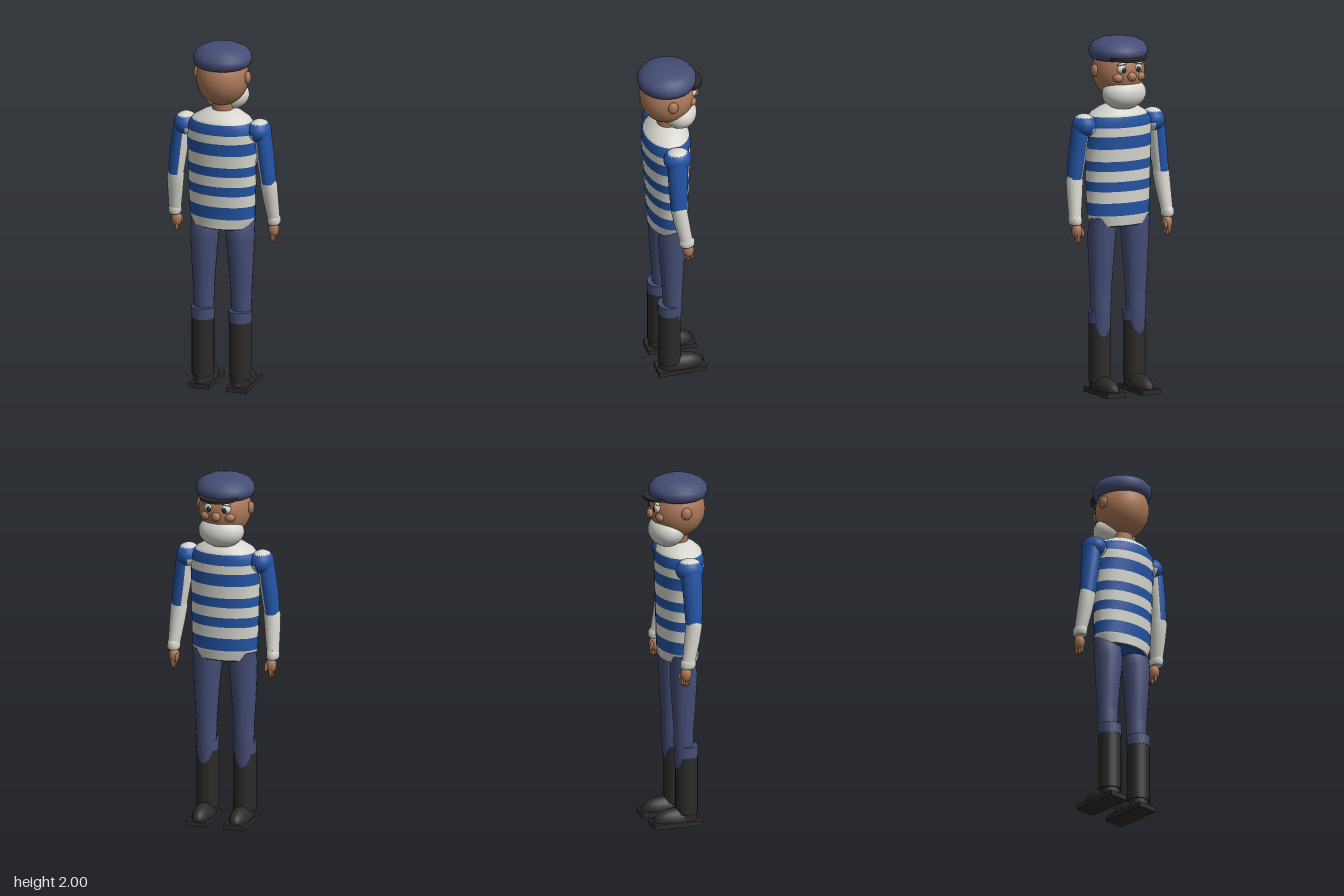
import * as THREE from 'three';

const mat = (name, color) => new THREE.MeshStandardMaterial({ name, color });

export function createModel() {
  const group = new THREE.Group();
  const navy = mat('navy cloth', 0x454d75);
  const blue = mat('blue stripe', 0x2353a3);
  const white = mat('off white', 0xd6d6ce);
  const skin = mat('skin', 0xaa7757);
  const black = mat('black leather', 0x2b2b2b);

  const add = (name, geo, material, x = 0, y = 0, z = 0) => {
    const m = new THREE.Mesh(geo, material);
    m.name = name;
    m.position.set(x, y, z);
    group.add(m);
    return m;
  };
  const ball = (name, material, x, y, z, rx, ry = rx, rz = rx, seg = 20) =>
    add(name, new THREE.SphereGeometry(1, seg, Math.ceil(seg * 0.7)).scale(rx, ry, rz), material, x, y, z);

  // Closed tube through elliptical rings [x, y, z, rx, rz], listed bottom to top
  function loft(rings, seg = 18) {
    const lo = rings[0], hi = rings[rings.length - 1];
    const all = [[lo[0], lo[1], lo[2], 0, 0], lo, ...rings, hi, [hi[0], hi[1], hi[2], 0, 0]];
    const pos = [], idx = [];
    all.forEach(([x, y, z, rx, rz], i) => {
      for (let j = 0; j < seg; j++) {
        const a = (j / seg) * Math.PI * 2;
        pos.push(x + rx * Math.cos(a), y, z + rz * Math.sin(a));
        if (i < all.length - 1) {
          const p = i * seg + j, n = i * seg + ((j + 1) % seg);
          idx.push(p, p + seg, n, n, p + seg, n + seg);
        }
      }
    });
    const g = new THREE.BufferGeometry();
    g.setAttribute('position', new THREE.Float32BufferAttribute(pos, 3));
    g.setIndex(idx);
    g.computeVertexNormals();
    return g;
  }

  // Sort faces into two material groups by a rule on the face centre
  function twoTone(g, rule) {
    const p = g.attributes.position, src = g.index.array, sets = [[], []];
    for (let i = 0; i < src.length; i += 3) {
      const c = new THREE.Vector3();
      for (let k = 0; k < 3; k++) c.add(new THREE.Vector3().fromBufferAttribute(p, src[i + k]));
      sets[rule(c.divideScalar(3)) ? 1 : 0].push(src[i], src[i + 1], src[i + 2]);
    }
    g.setIndex([...sets[0], ...sets[1]]);
    g.addGroup(0, sets[0].length, 0);
    g.addGroup(sets[0].length, sets[1].length, 1);
    return g;
  }

  // Striped jersey, cut from one body profile: [y, z, rx, rz]
  const body = [
    [0.95, 0.018, 0.165, 0.105], [1.0, 0.015, 0.188, 0.11], [1.2, 0.018, 0.195, 0.118],
    [1.48, 0.022, 0.2, 0.132], [1.54, 0.022, 0.198, 0.132], [1.58, 0.02, 0.16, 0.12],
    [1.61, 0.015, 0.11, 0.09], [1.625, 0.012, 0.07, 0.065],
  ];
  const bodyAt = (y) => {
    let i = 0;
    while (i < body.length - 2 && body[i + 1][0] < y) i++;
    const t = (y - body[i][0]) / (body[i + 1][0] - body[i][0]);
    const [, z, rx, rz] = body[i].map((v, k) => v + (body[i + 1][k] - v) * t);
    return [0, y, z, rx, rz];
  };
  const cuts = [0.95, 1.008, 1.08, 1.145, 1.2, 1.26, 1.315, 1.385, 1.455, 1.505, 1.565, 1.625];
  for (let i = 0; i < cuts.length - 1; i++) {
    const inner = body.map((b) => b[0]).filter((y) => y > cuts[i] + 0.002 && y < cuts[i + 1] - 0.002);
    const rings = [cuts[i], ...inner, cuts[i + 1]].map(bodyAt);
    add(i % 2 ? 'jerseyBlueStripe' : 'jerseyWhiteStripe', loft(rings, 24), i % 2 ? blue : white);
  }
  add('jerseyUnderside', loft([[0, 0.944, 0.018, 0.15, 0.095], [0, 0.952, 0.018, 0.155, 0.1]]), blue);

  // Head, facing -z
  add('neck', new THREE.CylinderGeometry(0.06, 0.06, 0.12, 16), skin, 0, 1.65, 0.012);
  ball('head', skin, 0, 1.81, 0.015, 0.146, 0.16, 0.154, 28);
  ball('beard', white, 0, 1.692, -0.05, 0.13, 0.092, 0.1, 28);
  ball('nose', skin, 0, 1.797, -0.143, 0.026, 0.026, 0.022);
  for (const s of [-1, 1]) {
    ball('ear', skin, s * 0.148, 1.82, 0.02, 0.02, 0.036, 0.031, 8);
    ball('cheek', skin, s * 0.068, 1.79, -0.108, 0.032, 0.026, 0.026);
    ball('eye', white, s * 0.048, 1.838, -0.115, 0.03, 0.026, 0.023);
    ball('pupil', black, s * 0.046, 1.836, -0.131, 0.015, 0.017, 0.011, 12);
    const brow = ball('eyebrow', white, s * 0.05, 1.868, -0.121, 0.033, 0.007, 0.012, 12);
    brow.rotation.z = -s * 0.15;
  }

  // Cap with brim
  const capProfile = [[0, 1.872], [0.125, 1.874], [0.153, 1.886], [0.165, 1.915], [0.162, 1.942],
    [0.14, 1.97], [0.1, 1.989], [0.05, 1.998], [0, 2]].map(([x, y]) => new THREE.Vector2(x, y));
  add('cap', new THREE.LatheGeometry(capProfile, 32), navy, 0, 0, 0.017);
  const brim = add('capBrim', new THREE.CylinderGeometry(1, 1, 0.014, 18).scale(0.112, 1, 0.092), black, 0, 1.898, -0.09);
  brim.rotation.x = -0.1;

  for (const s of [-1, 1]) {
    // Shoulder and upper arm, white on top and inside
    const shoulder = new THREE.SphereGeometry(1, 24, 18);
    add('shoulder', twoTone(shoulder, (c) => c.y > 0.72 || (s * c.x < -0.2 && c.y < -0.15))
      .scale(0.066, 0.066, 0.079), [blue, white], s * 0.216, 1.517, 0.015);
    const upperArm = loft([
      [s * 0.272, 1.22, 0.022, 0.043, 0.046], [s * 0.258, 1.34, 0.023, 0.049, 0.053],
      [s * 0.243, 1.46, 0.02, 0.048, 0.058], [s * 0.237, 1.52, 0.018, 0.043, 0.055],
    ], 24);
    const armMid = (y) => 0.272 - (y - 1.22) * 0.117;
    add('upperArm', twoTone(upperArm, (c) => s * c.x < armMid(c.y) - 0.022), [blue, white]);
    // Forearm, cuff and hand
    add('forearm', loft([
      [s * 0.29, 1.0, -0.015, 0.034, 0.037], [s * 0.28, 1.12, 0.008, 0.043, 0.044],
      [s * 0.273, 1.21, 0.022, 0.048, 0.046], [s * 0.271, 1.24, 0.022, 0.042, 0.042],
    ]), white);
    add('sleeveCuff', loft([
      [s * 0.29, 0.97, -0.018, 0.029, 0.036], [s * 0.291, 0.982, -0.018, 0.036, 0.044],
      [s * 0.291, 1.008, -0.016, 0.036, 0.044], [s * 0.29, 1.022, -0.014, 0.029, 0.036],
    ]), white);
    ball('hand', skin, s * 0.285, 0.935, -0.028, 0.03, 0.044, 0.032, 14);
    for (let f = 0; f < 4; f++)
      ball('finger', skin, s * (0.287 - (f % 2) * 0.006), 0.892 + Math.abs(f - 1.5) * 0.006, -0.05 + f * 0.013, 0.009, 0.035, 0.008, 8);
    const thumb = ball('thumb', skin, s * 0.262, 0.928, -0.052, 0.009, 0.03, 0.01, 8);
    thumb.rotation.x = 0.3;

    // Trouser leg
    add('thigh', loft([
      [s * 0.11, 0.54, 0.015, 0.058, 0.055], [s * 0.109, 0.7, 0.016, 0.068, 0.067],
      [s * 0.105, 0.88, 0.017, 0.08, 0.077], [s * 0.104, 0.95, 0.01, 0.081, 0.07],
      [s * 0.106, 0.995, -0.005, 0.078, 0.056],
    ]), navy);
    add('shin', loft([
      [s * 0.11, 0.27, 0.01, 0.042, 0.036], [s * 0.11, 0.42, 0.014, 0.055, 0.053],
      [s * 0.11, 0.55, 0.015, 0.06, 0.057], [s * 0.11, 0.565, 0.015, 0.052, 0.05],
    ]), navy);
    // Boot shaft, rolled trouser hem, shoe and sole
    add('bootShaft', new THREE.CylinderGeometry(0.063, 0.063, 0.335, 20), black, s * 0.109, 0.235, 0.032);
    add('trouserHem', new THREE.CylinderGeometry(0.0645, 0.0645, 0.062, 20), navy, s * 0.109, 0.43, 0.032);
    const shoe = new THREE.SphereGeometry(1, 20, 8, 0, Math.PI * 2, 0, Math.PI / 2).scale(0.056, 0.072, 0.128);
    add('shoe', shoe, black, s * 0.109, 0.028, -0.034);
    add('heel', new THREE.CylinderGeometry(0.054, 0.054, 0.05, 18), black, s * 0.109, 0.05, 0.034);
    add('sole', new THREE.BoxGeometry(0.117, 0.028, 0.275), black, s * 0.11, 0.014, -0.032);
  }
  return group;
}
